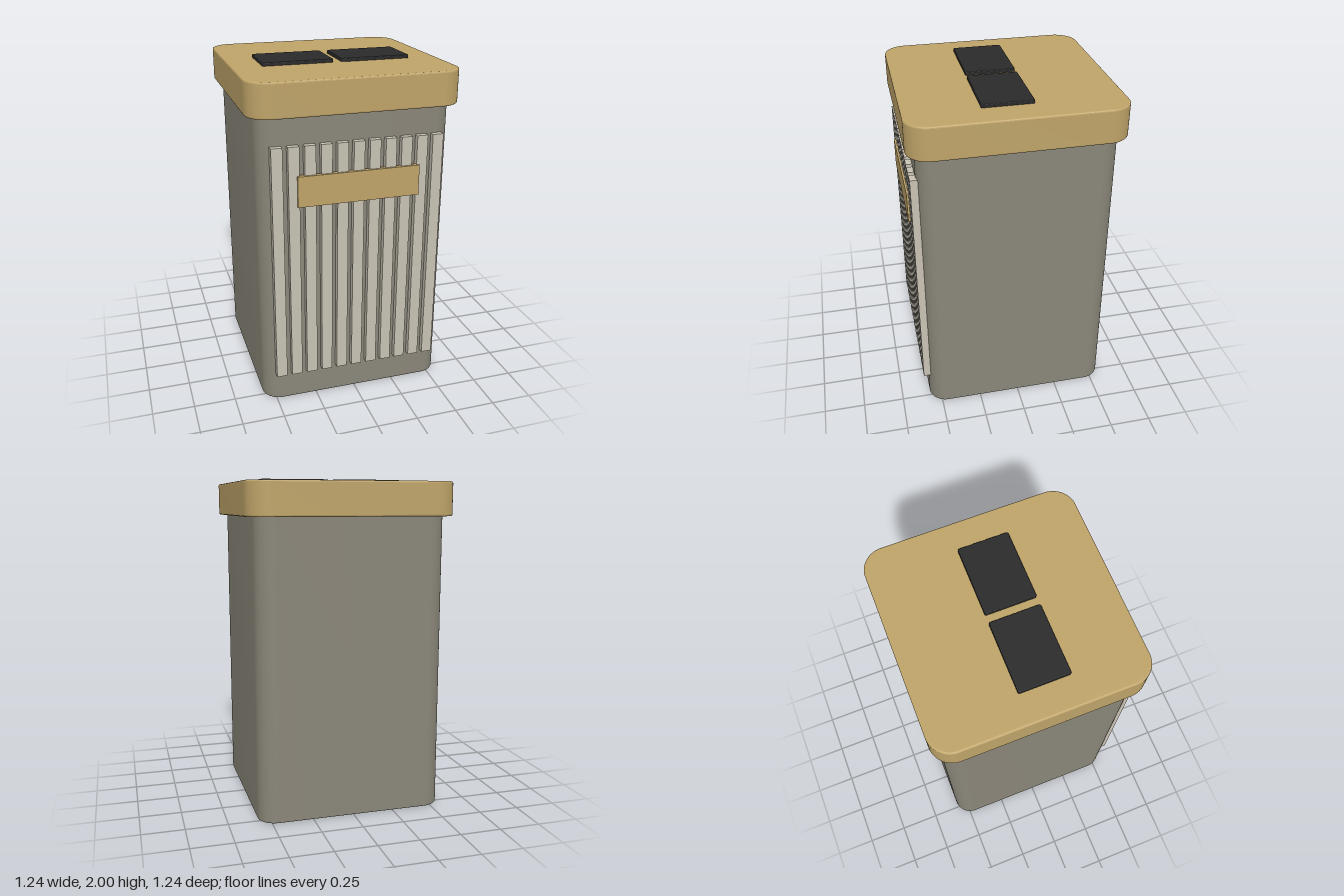
import * as THREE from 'three';
import { toCreasedNormals } from 'three/addons/utils/BufferGeometryUtils.js';

const material = (name, color) => {
  const m = new THREE.MeshStandardMaterial({ color });
  m.name = name;
  return m;
};

// Upright block with rounded corners in plan and a small bevel on its top and bottom edges
function roundedBlock(width, depth, height, radius, bevel) {
  const x = width / 2 - bevel, y = depth / 2 - bevel, r = radius - bevel;
  const s = new THREE.Shape();
  s.moveTo(-x + r, -y);
  s.lineTo(x - r, -y);
  s.absarc(x - r, -y + r, r, -Math.PI / 2, 0);
  s.lineTo(x, y - r);
  s.absarc(x - r, y - r, r, 0, Math.PI / 2);
  s.lineTo(-x + r, y);
  s.absarc(-x + r, y - r, r, Math.PI / 2, Math.PI);
  s.lineTo(-x, -y + r);
  s.absarc(-x + r, -y + r, r, Math.PI, Math.PI * 1.5);
  const g = new THREE.ExtrudeGeometry(s, {
    depth: height - 2 * bevel, bevelEnabled: true, bevelThickness: bevel,
    bevelSize: bevel, bevelSegments: 3, curveSegments: 12,
  });
  g.translate(0, 0, bevel).rotateX(-Math.PI / 2);
  return toCreasedNormals(g, 0.2);
}

export function createModel() {
  const group = new THREE.Group();
  group.name = 'litterBin';
  const bodyGrey = material('body grey', 0x8a8679);
  const slatGrey = material('pale slat grey', 0xc9c3b4);
  const tan = material('tan', 0xbfa469);
  const black = material('opening black', 0x2a2a2a);

  const add = (name, geometry, mat, x, y, z) => {
    const mesh = new THREE.Mesh(geometry, mat);
    mesh.name = name;
    mesh.position.set(x, y, z);
    group.add(mesh);
  };

  // Main housing and overhanging lid
  add('body', roundedBlock(1.14, 1.14, 1.79, 0.11, 0.008), bodyGrey, 0, 0, 0);
  add('lid', roundedBlock(1.24, 1.24, 0.2, 0.135, 0.01), tan, 0, 1.78, 0);

  // Two openings on the lid
  const opening = roundedBlock(0.42, 0.296, 0.03, 0.01, 0.004);
  for (const side of [-1, 1]) add('opening', opening, black, side * 0.235, 1.97, 0.047);

  // Vertical slats on the front
  const slat = new THREE.BoxGeometry(0.064, 1.44, 0.045);
  for (let i = 0; i < 11; i++) add('slat', slat, slatGrey, (i - 5) * 0.0944, 0.9, 0.5825);

  // Sign plate across the slats
  add('signPlate', new THREE.BoxGeometry(0.72, 0.18, 0.03), tan, 0, 1.36, 0.602);
  return group;
}
